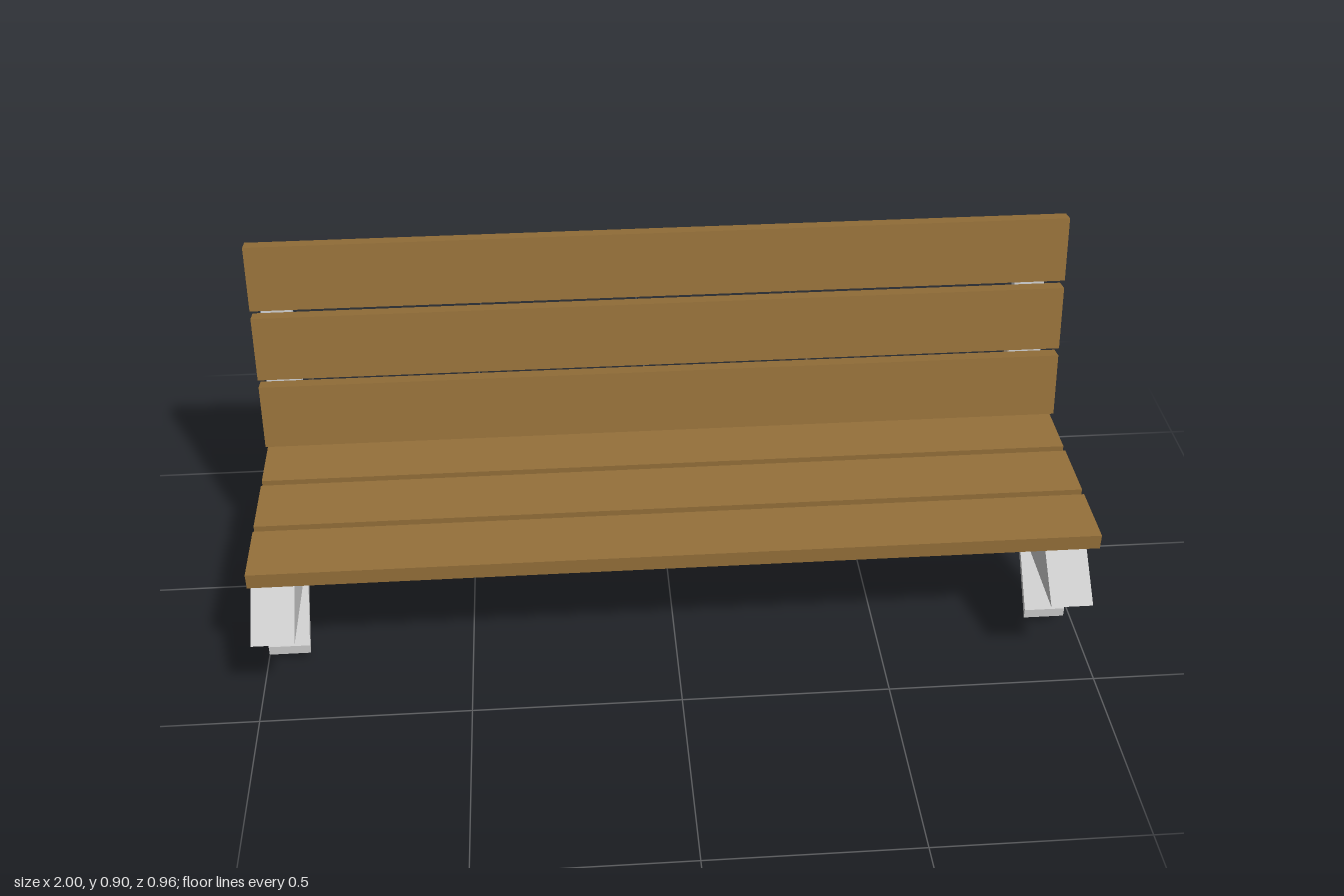
import * as THREE from 'three';

export function createModel() {
  const bench = new THREE.Group();
  bench.name = 'parkBench';
  const metal = new THREE.MeshStandardMaterial({ color: 0xcccccc, flatShading: true });
  const wood = new THREE.MeshStandardMaterial({ color: 0x95703a, flatShading: true });

  // Side frame outline as [z, y]: seat bracket, back post, rear leg and foot, front leg
  const outline = [
    [0.48, 0.22], [0.333, 0.345], [-0.006, 0.345], [-0.118, 0.28],
    [-0.215, 0.868], [-0.237, 0.85], [-0.155, 0.26],
    [-0.325, 0.05], [-0.48, 0.027], [-0.48, 0.003], [-0.327, 0.025],
    [-0.163, 0.235], [-0.01, 0.305], [0.14, 0.2], [0.293, 0.026],
    [0.293, 0.05], [0.138, 0.22],
  ].map(([z, y]) => new THREE.Vector2(z, y));

  const width = 0.1;
  const frameGeometry = new THREE.ExtrudeGeometry(new THREE.Shape(outline), { depth: width, bevelEnabled: false });
  frameGeometry.translate(0, 0, -width / 2);
  frameGeometry.rotateY(-Math.PI / 2);

  // Narrow the top of the back post
  const pos = frameGeometry.attributes.position;
  for (let i = 0; i < pos.count; i++) {
    if (pos.getY(i) > 0.5) pos.setX(i, pos.getX(i) * 0.66);
  }
  frameGeometry.computeVertexNormals();

  for (const [name, x] of [['rightFrame', -0.945], ['leftFrame', 0.925]]) {
    const frame = new THREE.Mesh(frameGeometry, metal);
    frame.name = name;
    frame.position.x = x;
    bench.add(frame);
  }

  // Wooden slats
  function addSlat(name, height, depth, y, z, tilt = 0) {
    const slat = new THREE.Mesh(new THREE.BoxGeometry(2, height, depth), wood);
    slat.name = name;
    slat.position.set(0, y, z);
    slat.rotation.x = tilt;
    bench.add(slat);
  }

  const backTilt = THREE.MathUtils.degToRad(-10);
  for (let i = 0; i < 3; i++) {
    addSlat(`seatSlat${i + 1}`, 0.038, 0.162, 0.342, 0.313 - i * 0.181);
    addSlat(`backSlat${i + 1}`, 0.162, 0.038, 0.459 + i * 0.179, -0.114 - i * 0.0316, backTilt);
  }

  return bench;
}
